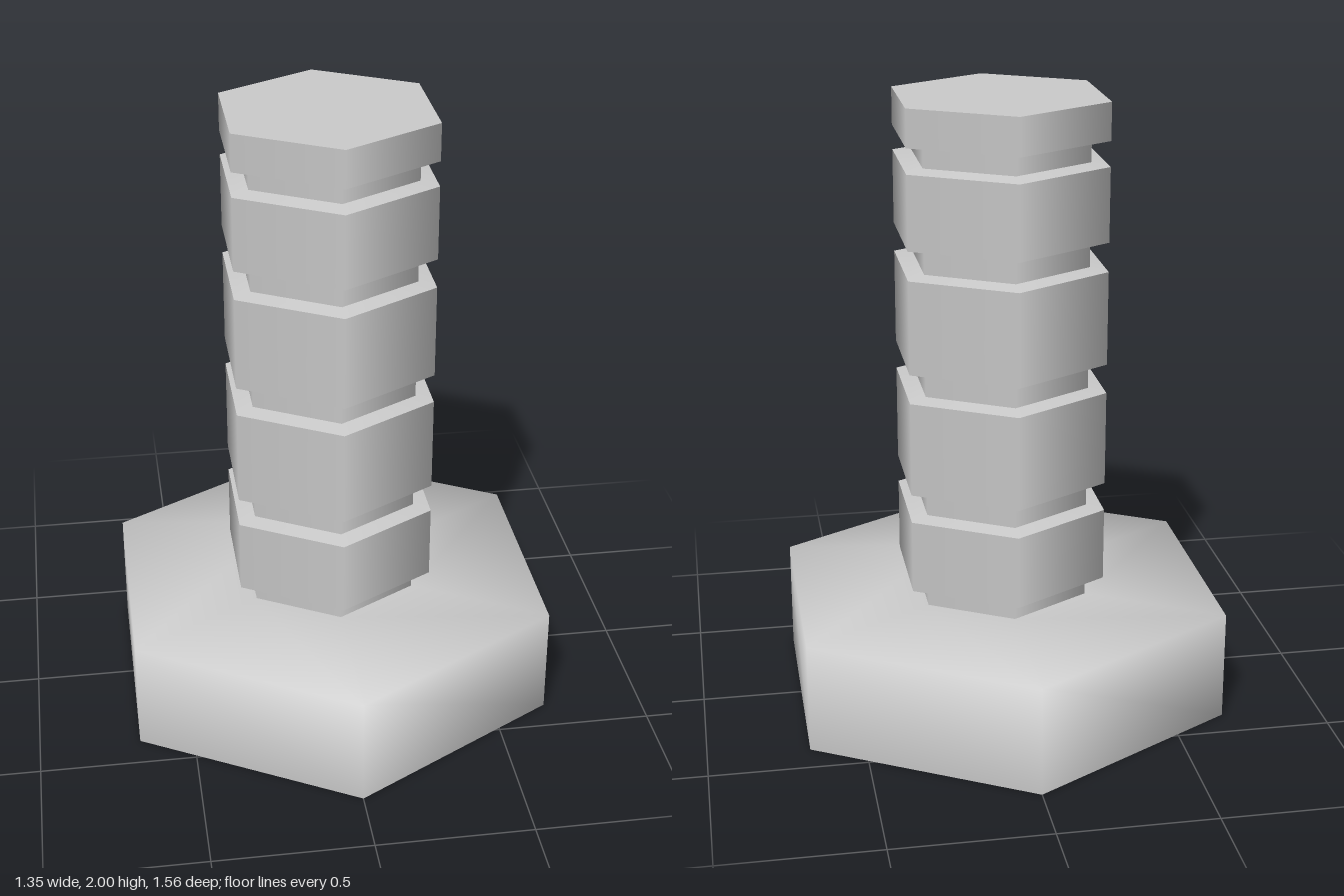
import * as THREE from 'three';
import { mergeGeometries } from 'three/addons/utils/BufferGeometryUtils.js';

const SIDES = 6;
const HEAD_R = 0.78, HEAD_H = 0.36;
const SHANK_R = 0.362, GROOVE_R = 0.3, LIP = 0.01;
const material = new THREE.MeshStandardMaterial({ color: 0xcccccc });

// Six-sided lathe, smooth around and along its profile
function hexLathe(...profile) {
  return new THREE.LatheGeometry(profile.map(([r, y]) => new THREE.Vector2(r, y)), SIDES);
}

// Profile with a hard edge at every point
function creased(profile) {
  return profile.slice(1).map((p, i) => hexLathe(profile[i], p));
}

function addPart(group, name, geometries) {
  const mesh = new THREE.Mesh(mergeGeometries(geometries), material);
  mesh.name = name;
  group.add(mesh);
}

export function createModel() {
  const bolt = new THREE.Group();
  bolt.name = 'hexBolt';

  // Head: flat underside, sides shaded smoothly into the top
  addPart(bolt, 'head', [
    hexLathe([0, 0], [HEAD_R, 0]),
    hexLathe([HEAD_R, 0], [HEAD_R, HEAD_H], [GROOVE_R, HEAD_H]),
  ]);

  // Shank: hexagonal bands parted by grooves with slightly flared walls
  const grooves = [[0.36, 0.418], [0.678, 0.752], [1.08, 1.155], [1.478, 1.552], [1.81, 1.87]];
  const profile = [];
  grooves.forEach(([bottom, top], i) => {
    if (i > 0) profile.push([SHANK_R, bottom - LIP]);
    profile.push([GROOVE_R, bottom], [GROOVE_R, top], [SHANK_R, top + LIP]);
  });
  profile.push([SHANK_R, 2], [0, 2]);
  addPart(bolt, 'groovedShank', creased(profile));

  return bolt;
}
